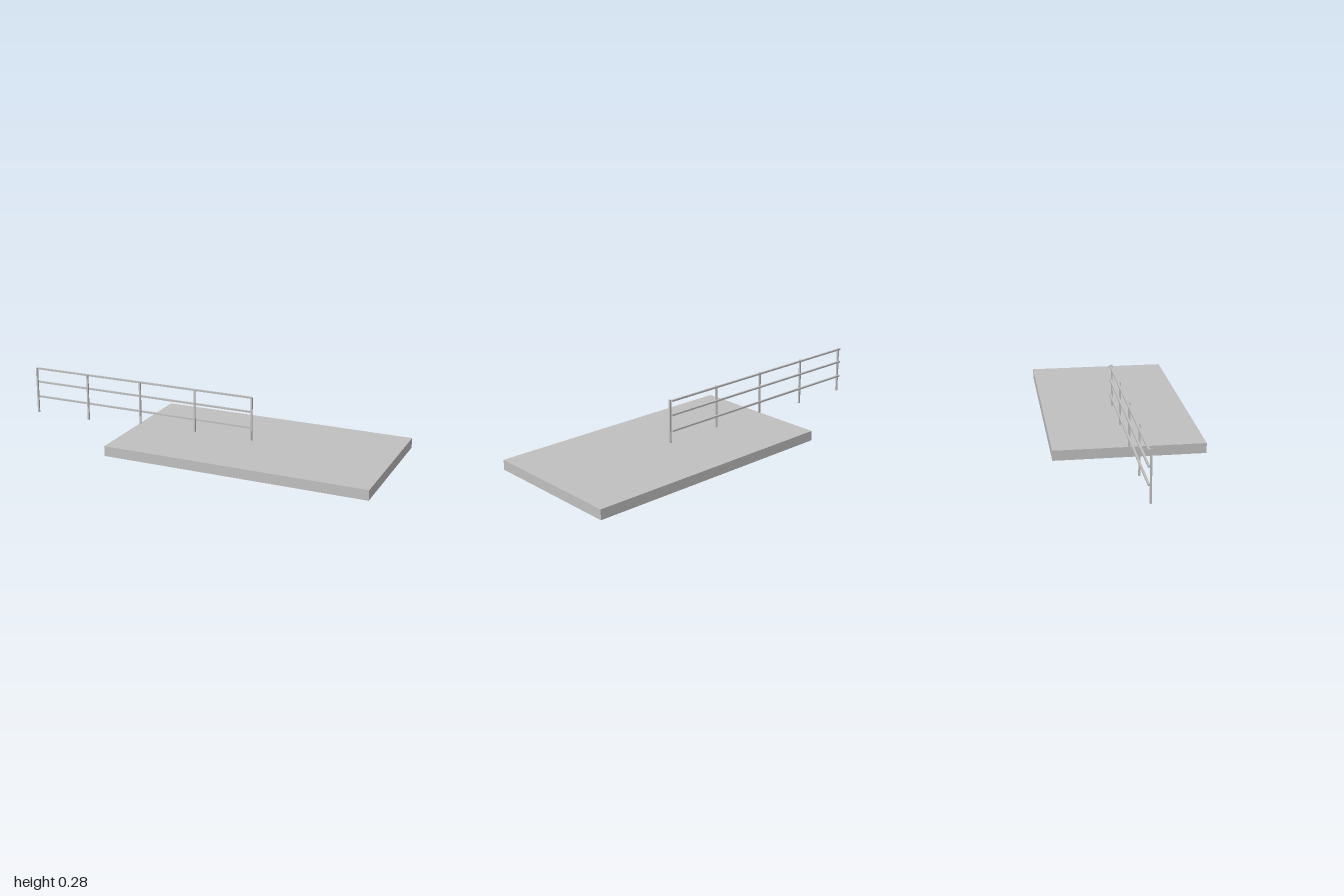
import * as THREE from 'three';

export function createModel() {
  const model = new THREE.Group();
  const concrete = new THREE.MeshStandardMaterial({ color: 0xc0c0c0 });
  concrete.name = 'light grey';

  // Box given by its minimum and maximum corners
  const addBox = (name, parent, [x0, y0, z0], [x1, y1, z1]) => {
    const mesh = new THREE.Mesh(new THREE.BoxGeometry(x1 - x0, y1 - y0, z1 - z0), concrete);
    mesh.position.set((x0 + x1) / 2, (y0 + y1) / 2, (z0 + z1) / 2);
    mesh.name = name;
    parent.add(mesh);
  };

  // Ground slab
  addBox('slab', model, [-0.367, 0, -0.379], [1, 0.052, 0.379]);

  const railing = new THREE.Group();
  railing.name = 'railing';
  model.add(railing);

  // Five evenly spaced posts
  const postWidth = 0.009;
  for (let i = 0; i < 5; i++) {
    const x = -1 + i * 0.3158;
    addBox('post', railing, [x, 0.028, -0.009], [x + postWidth, 0.28, 0]);
  }

  // Three rails fixed to the back of the posts
  for (const y of [0.112, 0.196, 0.271]) {
    addBox('rail', railing, [-1, y, -0.019], [0.264, y + 0.009, -0.009]);
  }

  return model;
}
